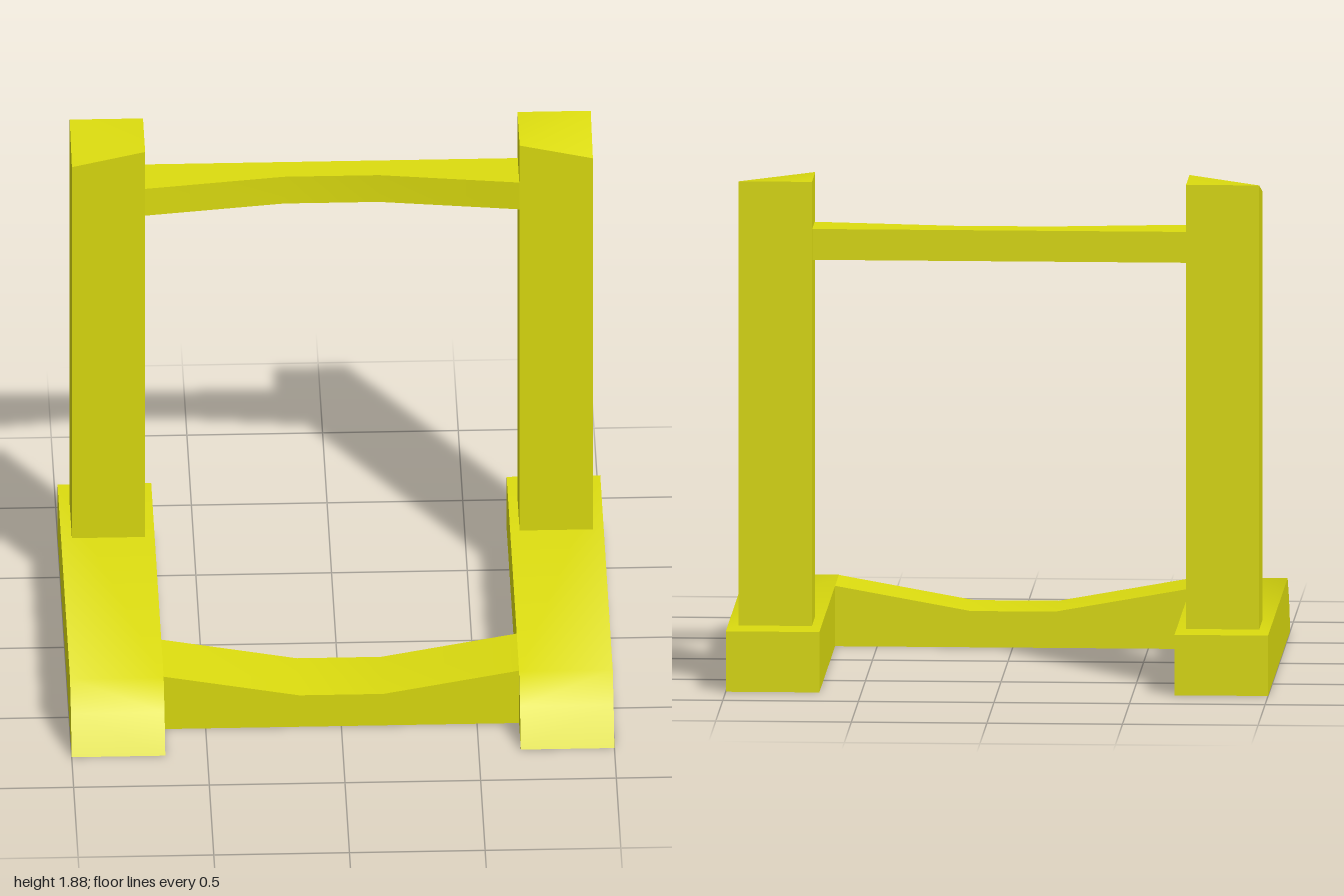
import * as THREE from 'three';
import { toCreasedNormals } from 'three/addons/utils/BufferGeometryUtils.js';

const CREASE = 0.75;

// Prism from a 2D outline, centred on its depth
function prism(points, depth) {
  const shape = new THREE.Shape(points.map(([x, y]) => new THREE.Vector2(x, y)));
  const geo = new THREE.ExtrudeGeometry(shape, { depth, bevelEnabled: false });
  return geo.translate(0, 0, -depth / 2);
}

// Post with the outer front top corner cut lower
function postGeometry() {
  const geo = new THREE.BoxGeometry(0.27, 1.66, 0.24).translate(0.825, 1.05, -0.525);
  const pos = geo.attributes.position;
  for (let i = 0; i < pos.count; i++) {
    if (pos.getX(i) > 0.825 && pos.getY(i) > 1.05 && pos.getZ(i) > -0.525) pos.setY(i, 1.82);
  }
  return geo;
}

export function createModel() {
  const model = new THREE.Group();
  model.name = 'frame';
  const material = new THREE.MeshStandardMaterial({ color: 0xdcdc0f });

  const add = (name, geo, mirrored = false) => {
    const mesh = new THREE.Mesh(toCreasedNormals(geo, CREASE), material);
    mesh.name = name;
    if (mirrored) mesh.scale.x = -1;
    model.add(mesh);
  };

  // Side rails with sloped toes (outline in z, y) and upright posts
  const rail = prism([[-0.79, 0], [0.785, 0], [0.70, 0.135], [0.60, 0.225], [-0.79, 0.225]], 0.345)
    .rotateY(-Math.PI / 2).translate(0.8275, 0, 0);
  const post = postGeometry();
  for (const [side, mirrored] of [['left', false], ['right', true]]) {
    add(side + 'Rail', rail, mirrored);
    add(side + 'Post', post, mirrored);
  }

  // Front crossbeam, dipping in the middle
  add('frontCrossbeam', prism([
    [-0.655, 0], [0.655, 0], [0.655, 0.225], [0.155, 0.135], [-0.155, 0.135], [-0.655, 0.225],
  ], 0.265).translate(0, 0, 0.4625));

  // Top crossbar, thinner in the middle (outline in x, -z)
  add('topCrossbar', prism([
    [-0.69, 0.44], [-0.175, 0.51], [0.175, 0.51], [0.69, 0.44], [0.69, 0.615], [-0.69, 0.615],
  ], 0.115).rotateX(-Math.PI / 2).translate(0, 1.6425, 0));

  return model;
}
